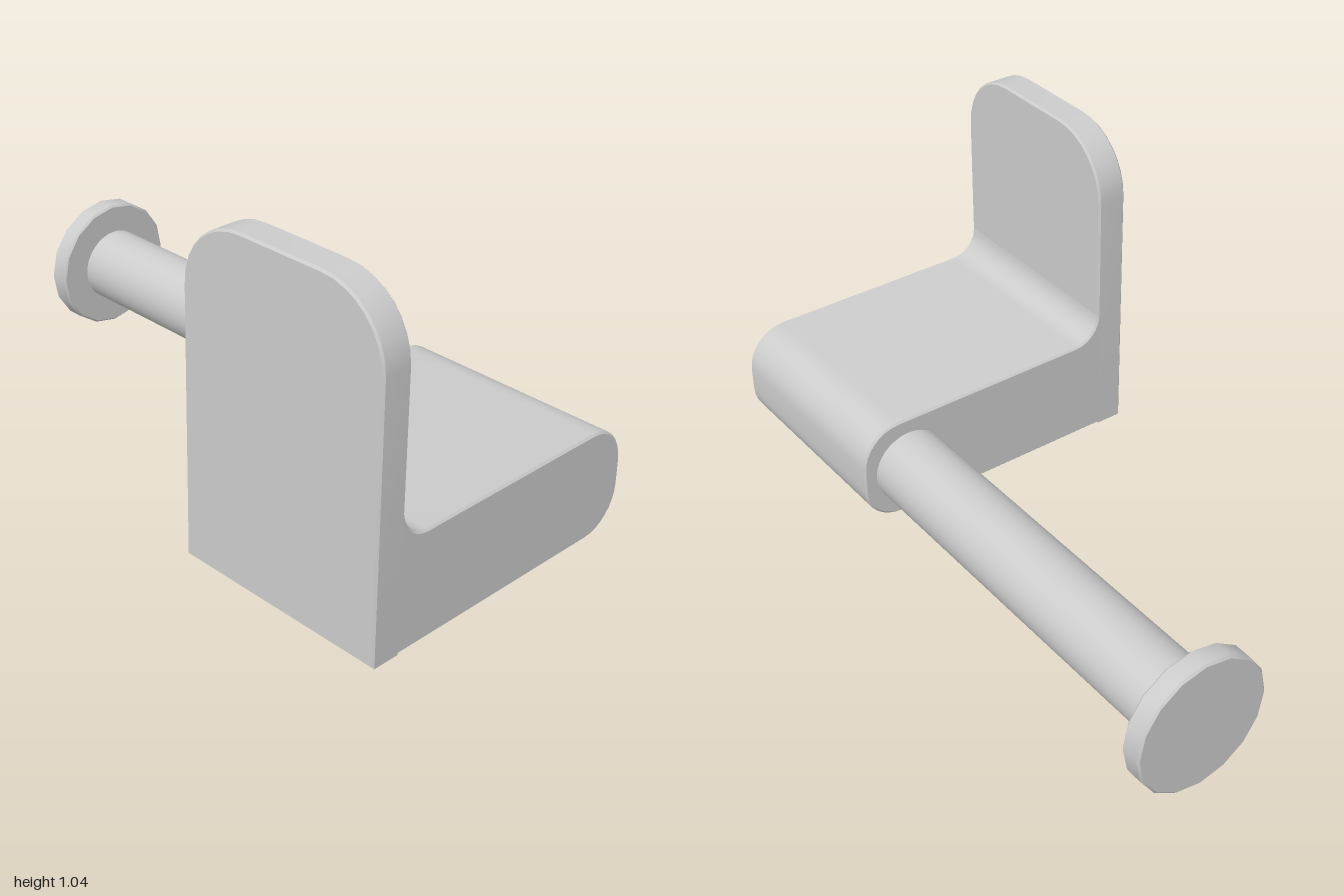
import * as THREE from 'three';
import { toCreasedNormals } from 'three/addons/utils/BufferGeometryUtils.js';

const BEVEL = 0.006;
const material = new THREE.MeshStandardMaterial({ color: 0xcccccc });

function part(name, geometry) {
  const mesh = new THREE.Mesh(toCreasedNormals(geometry, 0.5), material);
  mesh.name = name;
  return mesh;
}

// Extrusion with a fine chamfer that stays inside the outline and the depth
function extrude(shape, depth) {
  const geometry = new THREE.ExtrudeGeometry(shape, {
    depth: depth - 2 * BEVEL, curveSegments: 4, bevelEnabled: true,
    bevelThickness: BEVEL, bevelSize: BEVEL, bevelOffset: -BEVEL, bevelSegments: 1,
  });
  return geometry.translate(0, 0, BEVEL);
}

export function createModel() {
  const group = new THREE.Group();
  const left = 0.328, right = 1, bottom = 0.05;

  // Upright plate with rounded top corners
  const top = 1.044, r = 0.2;
  const plate = new THREE.Shape();
  plate.moveTo(left, bottom);
  plate.lineTo(right, bottom);
  plate.lineTo(right, top - r);
  plate.absarc(right - r, top - r, r, 0, Math.PI / 2);
  plate.absarc(left + r, top - r, r, Math.PI / 2, Math.PI);
  plate.closePath();
  group.add(part('uprightPlate', extrude(plate, 0.094).translate(0, 0, 0.406)));

  // Arm profile (horizontal axis is -z): rounded rear end, fillet against the plate
  const rear = 0.448, height = 0.373, e = 0.125, f = 0.085, wall = -0.406;
  const arm = new THREE.Shape();
  arm.moveTo(-0.48, bottom);
  arm.lineTo(rear - e, bottom);
  arm.absarc(rear - e, bottom + e, e, -Math.PI / 2, 0);
  arm.absarc(rear - e, height - e, e, 0, Math.PI / 2);
  arm.absarc(wall + f, height + f, f, -Math.PI / 2, -Math.PI, true);
  arm.lineTo(-0.48, height + f);
  arm.closePath();
  group.add(part('arm', extrude(arm, right - left).rotateY(Math.PI / 2).translate(left, 0, 0)));

  // Round bar and its end disc share one axis
  const axisY = 0.21, axisZ = -0.293;
  const bar = new THREE.CylinderGeometry(0.115, 0.115, 1.32, 32);
  group.add(part('bar', bar.rotateZ(Math.PI / 2).translate(-0.3, axisY, axisZ)));

  const R = 0.208, h = 0.0325;
  const profile = [[0, -h], [R - BEVEL, -h], [R, BEVEL - h], [R, h - BEVEL], [R - BEVEL, h], [0, h]]
    .map(([x, y]) => new THREE.Vector2(x, y));
  const disc = new THREE.LatheGeometry(profile, 16);
  group.add(part('endDisc', disc.rotateZ(Math.PI / 2).translate(-1 + h, axisY, axisZ)));

  return group;
}
